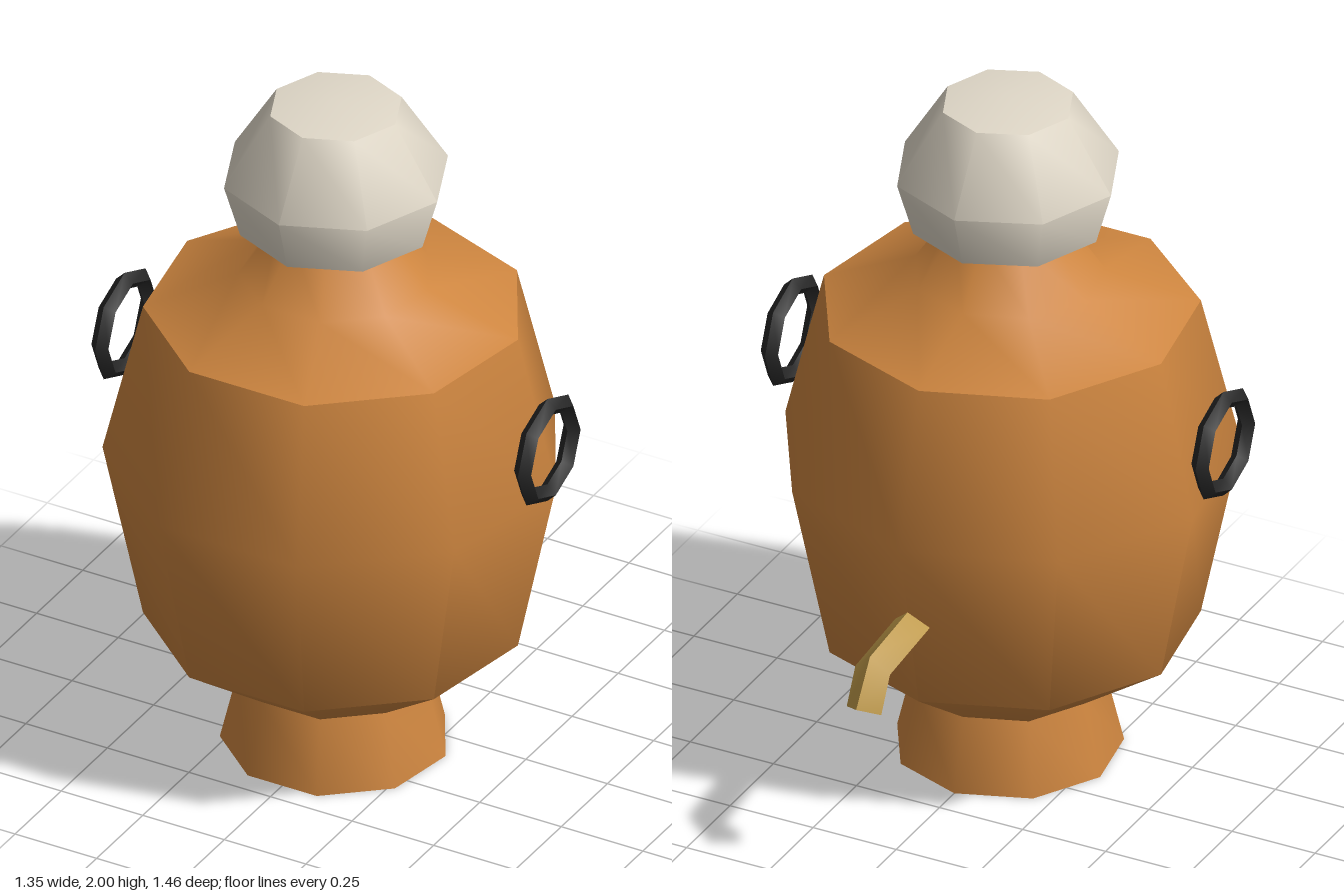
import * as THREE from 'three';
import { toCreasedNormals } from 'three/addons/utils/BufferGeometryUtils.js';

const CENTRE_Z = 0.145; // axis of the urn
const CREASE = THREE.MathUtils.degToRad(48);

function material(name, color, options = {}) {
  const m = new THREE.MeshStandardMaterial({ color, ...options });
  m.name = name;
  return m;
}

// Turned shape with few sides and one corner pointing to the back
function turned(name, profile, sides, mat) {
  const points = profile.map(([r, y]) => new THREE.Vector2(r, y));
  const geometry = new THREE.LatheGeometry(points, sides, Math.PI);
  const mesh = new THREE.Mesh(toCreasedNormals(geometry, CREASE), mat);
  mesh.name = name;
  mesh.position.z = CENTRE_Z;
  return mesh;
}

// Square pipe bent through three rings; each ring has a centre and an axis in the yz plane
function bentPipe(radius, rings) {
  const geometry = new THREE.CylinderGeometry(radius, radius, 1, 4, rings.length - 1, true);
  const p = geometry.attributes.position;
  for (let i = 0; i < p.count; i++) {
    const ring = rings[Math.round((p.getY(i) + 0.5) * (rings.length - 1))];
    const length = Math.hypot(ring.dy, ring.dz);
    const across = p.getZ(i);
    p.setXYZ(i, p.getX(i), ring.y - (across * ring.dz) / length, ring.z + (across * ring.dy) / length);
  }
  return toCreasedNormals(geometry, CREASE);
}

export function createModel() {
  const copper = material('copper', 0xcd853f);
  const cream = material('cream', 0xe0d8c8);
  const black = material('black', 0x262626);
  const brass = material('brass', 0xbd9848, { side: THREE.DoubleSide });

  const model = new THREE.Group();
  model.name = 'urn';

  // Foot, belly, shoulder and neck in one turned body
  model.add(turned('body', [
    [0, 0], [0.31, 0], [0.26, 0.21], [0.515, 0.39], [0.623, 0.91],
    [0.515, 1.35], [0.26, 1.455], [0.152, 1.615], [0, 1.617],
  ], 9, copper));

  // Faceted lid
  model.add(turned('lid', [
    [0, 1.615], [0.265, 1.615], [0.31, 1.77], [0.182, 1.975], [0, 2],
  ], 8, cream));

  // Ring handles on both sides
  for (const side of [1, -1]) {
    const ring = new THREE.TorusGeometry(0.134, 0.026, 4, 8);
    const handle = new THREE.Mesh(toCreasedNormals(ring, CREASE), black);
    handle.name = side > 0 ? 'leftHandle' : 'rightHandle';
    handle.rotation.y = Math.PI / 2;
    handle.position.set(side * 0.648, 1.095, CENTRE_Z);
    model.add(handle);
  }

  // Tap at the back, bent down at the end
  const tap = new THREE.Mesh(bentPipe(0.052, [
    { y: 0.65, z: -0.405, dy: -0.1, dz: -1 },
    { y: 0.624, z: -0.635, dy: -0.3, dz: -0.95 },
    { y: 0.525, z: -0.685, dy: -0.87, dz: -0.49 },
  ]), brass);
  tap.name = 'tap';
  model.add(tap);

  return model;
}
